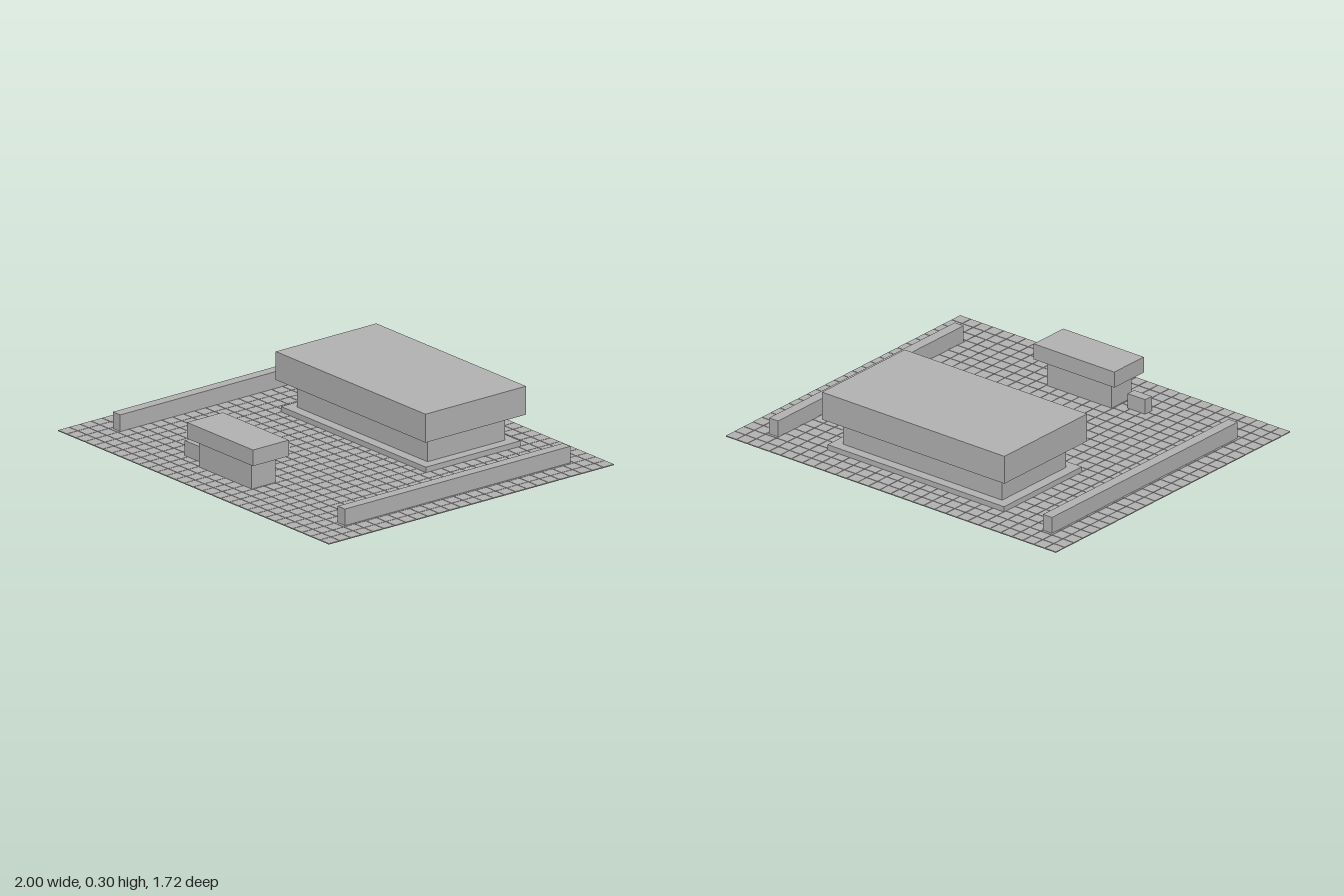
import * as THREE from 'three';
import { mergeGeometries } from 'three/addons/utils/BufferGeometryUtils.js';

export function createModel() {
  const model = new THREE.Group();
  model.name = 'courtyard';
  const stone = new THREE.MeshStandardMaterial({ color: 0xb4b4b4 });
  stone.name = 'grey stone';

  // Box given by its extents along each axis
  function block(name, [x0, x1], [y0, y1], [z0, z1], parent = model) {
    const mesh = new THREE.Mesh(new THREE.BoxGeometry(x1 - x0, y1 - y0, z1 - z0), stone);
    mesh.position.set((x0 + x1) / 2, (y0 + y1) / 2, (z0 + z1) / 2);
    mesh.name = name;
    parent.add(mesh);
  }

  // Paving: separate thin tiles with narrow joints
  const columns = 30, rows = 26, joint = 0.003, thickness = 0.005;
  const width = 2, depth = 1.716;
  const pitchX = (width + joint) / columns, pitchZ = (depth + joint) / rows;
  const tiles = [];
  for (let i = 0; i < columns; i++) {
    for (let j = 0; j < rows; j++) {
      const tile = new THREE.BoxGeometry(pitchX - joint, thickness, pitchZ - joint);
      tile.translate((i + 0.5 - columns / 2) * pitchX, thickness / 2, (j + 0.5 - rows / 2) * pitchZ);
      tiles.push(tile);
    }
  }
  const paving = new THREE.Mesh(mergeGeometries(tiles), stone);
  paving.name = 'pavingTiles';
  model.add(paving);

  // Main hall: plinth, walls and deep overhanging roof
  const hall = new THREE.Group();
  hall.name = 'mainHall';
  model.add(hall);
  block('hallPlinth', [-0.535, 0.535], [thickness, 0.032], [-0.675, -0.105], hall);
  block('hallWalls', [-0.482, 0.482], [0.032, 0.163], [-0.625, -0.158], hall);
  block('hallRoof', [-0.553, 0.553], [0.163, 0.304], [-0.694, -0.088], hall);

  // Gatehouse with its small side block
  const gate = new THREE.Group();
  gate.name = 'gatehouse';
  model.add(gate);
  block('gateWalls', [-0.195, 0.195], [thickness, 0.14], [0.522, 0.667], gate);
  block('gateRoof', [-0.244, 0.244], [0.14, 0.22], [0.483, 0.699], gate);
  block('gateSideBlock', [-0.358, -0.251], [thickness, 0.08], [0.571, 0.62], gate);

  // Long low walls on both sides
  block('leftWall', [0.803, 0.857], [thickness, 0.087], [-0.713, 0.645]);
  block('rightWall', [-0.857, -0.803], [thickness, 0.087], [-0.713, 0.645]);

  return model;
}
